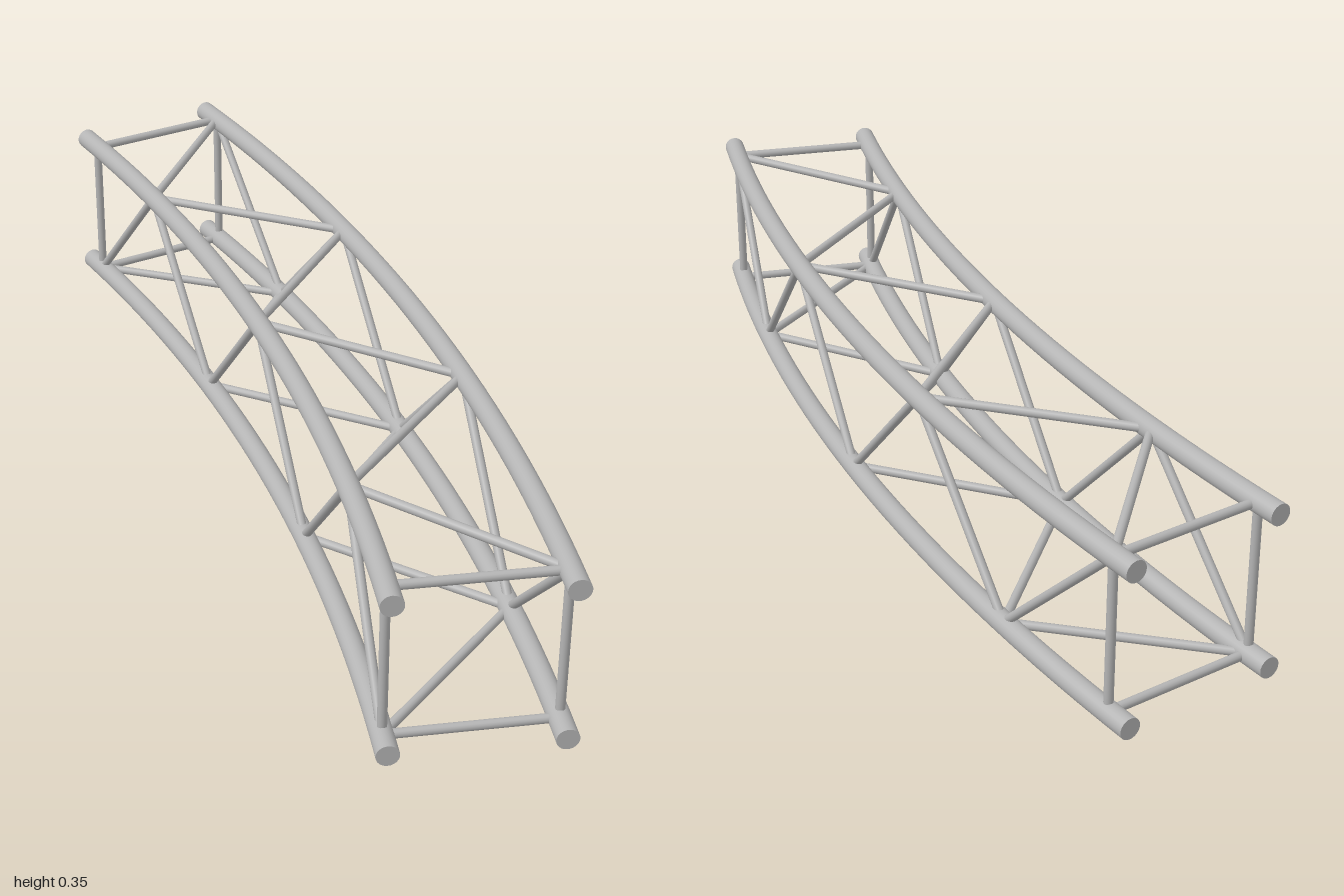
import * as THREE from 'three';

const SWEEP = THREE.MathUtils.degToRad(22.5); // angle covered by the curved truss
const CENTRE_X = -4.866, FRONT_Z = 1;          // centre of the bend
const INNER = 4.896, OUTER = 5.205;            // chord radii in plan
const LOW = 0.021, HIGH = 0.33;                // chord heights
const CHORD_R = 0.021, BRACE_R = 0.0088;
const BAYS = 6, FIRST = THREE.MathUtils.degToRad(0.66);

// point on an arc of the bend
function arcPoint(radius, angle, y) {
  return new THREE.Vector3(CENTRE_X + radius * Math.cos(angle), y, FRONT_Z - radius * Math.sin(angle));
}

// capped cylinder bent along the arc
function bentTube(radius, y) {
  const g = new THREE.CylinderGeometry(CHORD_R, CHORD_R, 1, 24, 32);
  const p = g.attributes.position, n = g.attributes.normal;
  for (let i = 0; i < p.count; i++) {
    const a = (p.getY(i) + 0.5) * SWEEP, c = Math.cos(a), s = Math.sin(a);
    const v = arcPoint(radius + p.getX(i), a, y + p.getZ(i));
    const nx = n.getX(i), ny = n.getY(i), nz = n.getZ(i);
    p.setXYZ(i, v.x, v.y, v.z);
    n.setXYZ(i, nx * c - ny * s, nz, -nx * s - ny * c);
  }
  return g;
}

export function createModel() {
  const steel = new THREE.MeshStandardMaterial({ color: 0xb4b4b4 });
  steel.name = 'grey metal';
  const model = new THREE.Group();
  model.name = 'curvedBoxTruss';

  function group(name) {
    const g = new THREE.Group();
    g.name = name;
    model.add(g);
    return g;
  }

  // straight round bar between two points
  function bar(parent, name, a, b) {
    const d = b.clone().sub(a);
    const mesh = new THREE.Mesh(new THREE.CylinderGeometry(BRACE_R, BRACE_R, d.length(), 14), steel);
    mesh.name = name;
    mesh.position.copy(a).add(b).multiplyScalar(0.5);
    mesh.quaternion.setFromUnitVectors(new THREE.Vector3(0, 1, 0), d.normalize());
    parent.add(mesh);
  }

  // corners in order around the section: [radius, height]
  const corners = [[OUTER, HIGH], [INNER, HIGH], [INNER, LOW], [OUTER, LOW]];
  const faces = ['top', 'inner', 'bottom', 'outer'];
  const node = (corner, station) => {
    const [r, y] = corners[corner % 4];
    return arcPoint(r, FIRST + (SWEEP - 2 * FIRST) * station / BAYS, y);
  };

  // four main chords
  const chords = group('chords');
  for (const [r, y] of corners) {
    const mesh = new THREE.Mesh(bentTube(r, y), steel);
    mesh.name = (r === OUTER ? 'outer' : 'inner') + (y === HIGH ? 'Top' : 'Bottom') + 'Chord';
    chords.add(mesh);
  }

  const diagonals = group('diagonalBraces');
  const frames = group('endFrames');
  faces.forEach((face, k) => {
    // zigzag: even corners meet at even stations, odd corners at odd stations
    for (let i = 0; i < BAYS; i++) {
      const even = k % 2 === 0 ? k : k + 1, odd = k % 2 === 0 ? k + 1 : k;
      const [from, to] = i % 2 === 0 ? [even, odd] : [odd, even];
      bar(diagonals, face + 'Diagonal', node(from, i), node(to, i + 1));
    }
    // square frame at each end
    for (const s of [0, BAYS]) bar(frames, face + 'EndBar', node(k, s), node(k + 1, s));
  });

  return model;
}
